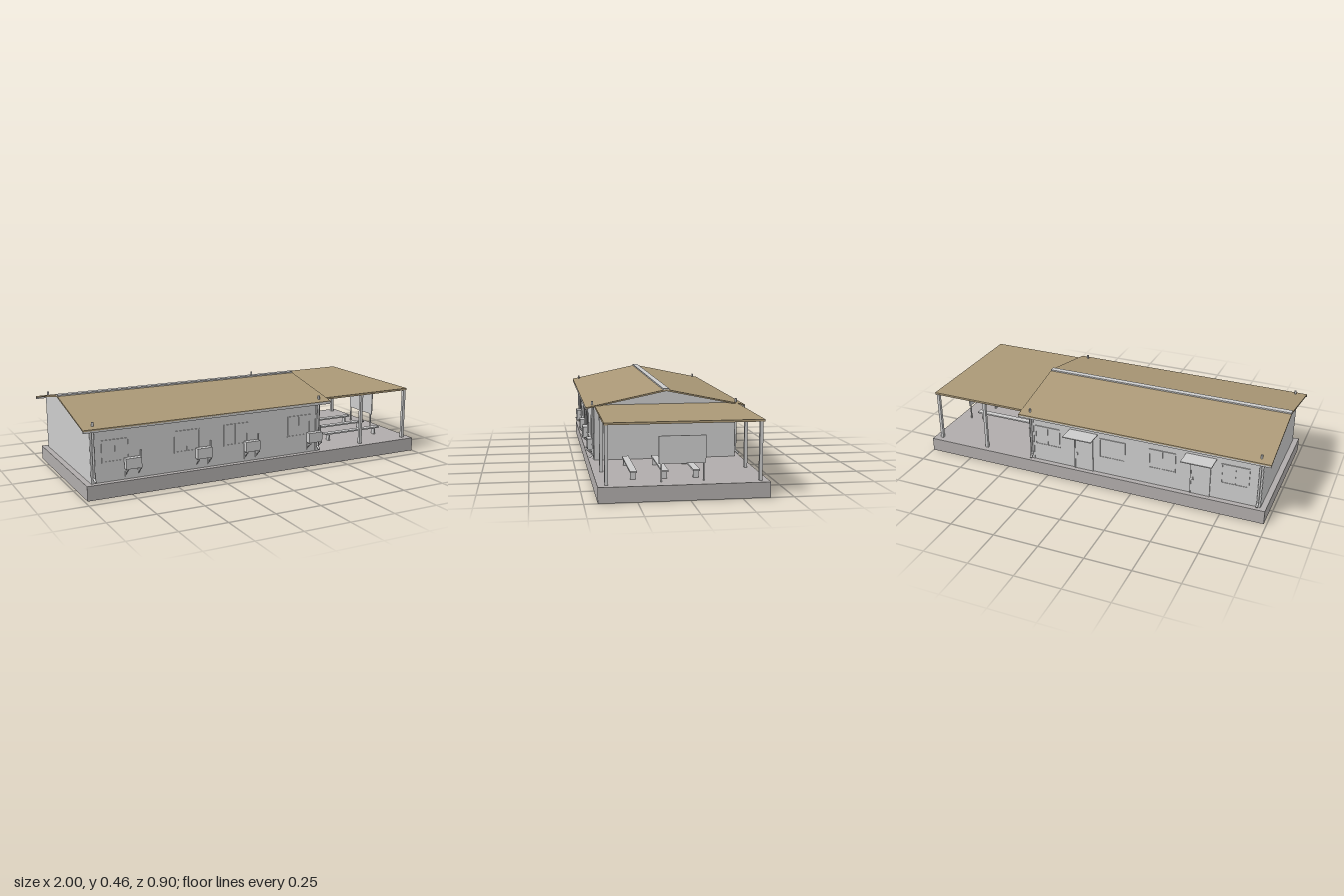
import * as THREE from 'three';

const GREY = new THREE.MeshStandardMaterial({ color: 0xcccccc });
const BASE = new THREE.MeshStandardMaterial({ color: 0xb0acab });
const TAN = new THREE.MeshStandardMaterial({ color: 0xaa9876 });

// Box given by its extents on each axis
function box(parent, name, [x0, x1], [y0, y1], [z0, z1], mat = GREY) {
  const m = new THREE.Mesh(new THREE.BoxGeometry(x1 - x0, y1 - y0, z1 - z0), mat);
  m.position.set((x0 + x1) / 2, (y0 + y1) / 2, (z0 + z1) / 2);
  m.name = name;
  parent.add(m);
  return m;
}

// Round bar between two points
function bar(parent, name, a, b, r) {
  const p = new THREE.Vector3(...a), q = new THREE.Vector3(...b);
  const m = new THREE.Mesh(new THREE.CylinderGeometry(r, r, p.distanceTo(q), 8), GREY);
  m.position.copy(p).add(q).multiplyScalar(0.5);
  m.quaternion.setFromUnitVectors(new THREE.Vector3(0, 1, 0), q.sub(p).normalize());
  m.name = name;
  parent.add(m);
}

// Outline of [z, y] points extruded along x
function extrudeX(parent, name, pts, x0, x1, mat) {
  const shape = new THREE.Shape(pts.map(([z, y]) => new THREE.Vector2(-z, y)));
  const geo = new THREE.ExtrudeGeometry(shape, { depth: x1 - x0, bevelEnabled: false });
  geo.rotateY(Math.PI / 2).translate(x0, 0, 0);
  const m = new THREE.Mesh(geo, mat);
  m.name = name;
  parent.add(m);
}

function group(parent, name) {
  const g = new THREE.Group();
  g.name = name;
  parent.add(g);
  return g;
}

// Two-pane window; dir is the outward z direction
function windowUnit(parent, x0, x1, z, dir) {
  const g = group(parent, 'window');
  const layer = (d) => [Math.min(z, z + dir * d), Math.max(z, z + dir * d)];
  const mid = (x0 + x1) / 2, y0 = 0.175, y1 = 0.29, t = 0.006;
  box(g, 'windowPane', [x0, x1], [y0, y1], layer(0.002));
  for (const x of [x0, mid - t / 2, x1 - t]) box(g, 'windowStile', [x, x + t], [y0, y1], layer(0.005));
  for (const y of [y0, y1 - t]) box(g, 'windowRail', [x0, x1], [y, y + t], layer(0.005));
}

// Wall-mounted cooling unit with brackets and pipe
function coolingUnit(parent, x) {
  const g = group(parent, 'coolingUnit');
  box(g, 'unitCase', [x - 0.042, x + 0.042], [0.135, 0.19], [0.412, 0.441]);
  for (const s of [-1, 1]) {
    const bx = x + s * 0.034;
    box(g, 'bracketArm', [bx - 0.003, bx + 0.003], [0.129, 0.135], [0.405, 0.446]);
    bar(g, 'bracketBrace', [bx, 0.131, 0.443], [bx, 0.1, 0.407], 0.0025);
    box(g, 'bracketPlate', [bx - 0.003, bx + 0.003], [0.09, 0.135], [0.405, 0.409]);
  }
  bar(g, 'refrigerantPipe', [x + 0.047, 0.155, 0.41], [x + 0.047, 0.22, 0.41], 0.004);
  bar(g, 'pipeElbow', [x + 0.038, 0.16, 0.42], [x + 0.047, 0.16, 0.41], 0.003);
}

// Door with a canopy on the back wall
function doorway(parent, x) {
  const g = group(parent, 'doorway');
  const wall = -0.355;
  box(g, 'door', [x - 0.052, x + 0.052], [0.075, 0.27], [wall - 0.004, wall]);
  for (const s of [-1, 1]) {
    const jx = x + s * 0.052;
    box(g, 'doorJamb', [jx - 0.003, jx + 0.003], [0.075, 0.273], [wall - 0.007, wall]);
    bar(g, 'awningStrut', [x + s * 0.06, 0.283, wall], [x + s * 0.06, 0.306, -0.44], 0.0022);
  }
  box(g, 'doorLintel', [x - 0.055, x + 0.055], [0.268, 0.274], [wall - 0.007, wall]);
  box(g, 'doorHandle', [x + 0.035, x + 0.043], [0.16, 0.175], [wall - 0.01, wall]);
  box(g, 'awning', [x - 0.083, x + 0.083], [0.304, 0.309], [-0.45, wall]);
}

function bench(parent, z) {
  const g = group(parent, 'bench');
  box(g, 'benchSeat', [0.5, 0.88], [0.113, 0.121], [z - 0.017, z + 0.017]);
  for (const x of [0.53, 0.85]) box(g, 'benchLeg', [x - 0.004, x + 0.004], [0.075, 0.113], [z - 0.013, z + 0.013]);
}

export function createModel() {
  const model = new THREE.Group();
  model.name = 'building';

  box(model, 'foundation', [-0.985, 1], [0, 0.076], [-0.385, 0.435], BASE);

  // Walls with gable ends
  extrudeX(model, 'walls',
    [[0.405, 0.075], [0.405, 0.362], [0.025, 0.442], [-0.355, 0.362], [-0.355, 0.075]], -0.955, 0.37, GREY);

  // Pitched roof, ridge cap and fascias
  extrudeX(model, 'roof', [[0.45, 0.356], [0.45, 0.363], [0.025, 0.452], [-0.4, 0.363],
    [-0.4, 0.356], [0.025, 0.443]], -1, 0.41, TAN);
  extrudeX(model, 'ridgeCap', [[0.041, 0.447], [0.041, 0.456], [0.009, 0.456], [0.009, 0.447]], -1, 0.41, GREY);
  for (const z of [0.446, -0.4]) box(model, 'fascia', [-1, 0.41], [0.347, 0.36], [z, z + 0.004]);

  // Downspouts with angled outlets
  for (const x of [-0.94, 0.355]) {
    for (const [z, dir] of [[0.413, 1], [-0.362, -1]]) {
      const g = group(model, 'downspout');
      bar(g, 'downspoutPipe', [x, 0.1, z], [x, 0.39, z], 0.006);
      bar(g, 'downspoutOutlet', [x, 0.105, z], [x, 0.088, z + dir * 0.018], 0.006);
      box(g, 'cornerTrim', [x - 0.014, x - 0.008], [0.076, 0.36],
        dir > 0 ? [0.405, 0.409] : [-0.359, -0.355]);
    }
  }

  // Front wall
  for (const x of [-0.825, -0.437, -0.155, 0.235]) windowUnit(model, x - 0.072, x + 0.072, 0.405, 1);
  for (const x of [-0.74, -0.35, -0.067, 0.325]) coolingUnit(model, x);

  // Back wall
  for (const x of [-0.812, -0.415, -0.13, 0.257]) windowUnit(model, x - 0.075, x + 0.075, -0.355, -1);
  for (const x of [-0.627, 0.038]) doorway(model, x);

  // Covered terrace
  const terrace = group(model, 'terrace');
  box(terrace, 'terraceRoof', [0.37, 0.967], [0.36, 0.371], [-0.36, 0.402], TAN);
  for (const x of [0.655, 0.955]) {
    for (const z of [0.392, -0.345]) box(terrace, 'terracePost', [x - 0.008, x + 0.008], [0.076, 0.361], [z - 0.008, z + 0.008]);
  }
  for (const z of [0.255, 0.103, -0.05]) bench(terrace, z);

  // Free-standing board
  const board = group(terrace, 'noticeBoard');
  box(board, 'boardPanel', [0.918, 0.924], [0.162, 0.296], [-0.087, 0.14]);
  for (const z of [0.128, -0.077]) box(board, 'boardLeg', [0.917, 0.923], [0.076, 0.165], [z - 0.003, z + 0.003]);

  return model;
}
